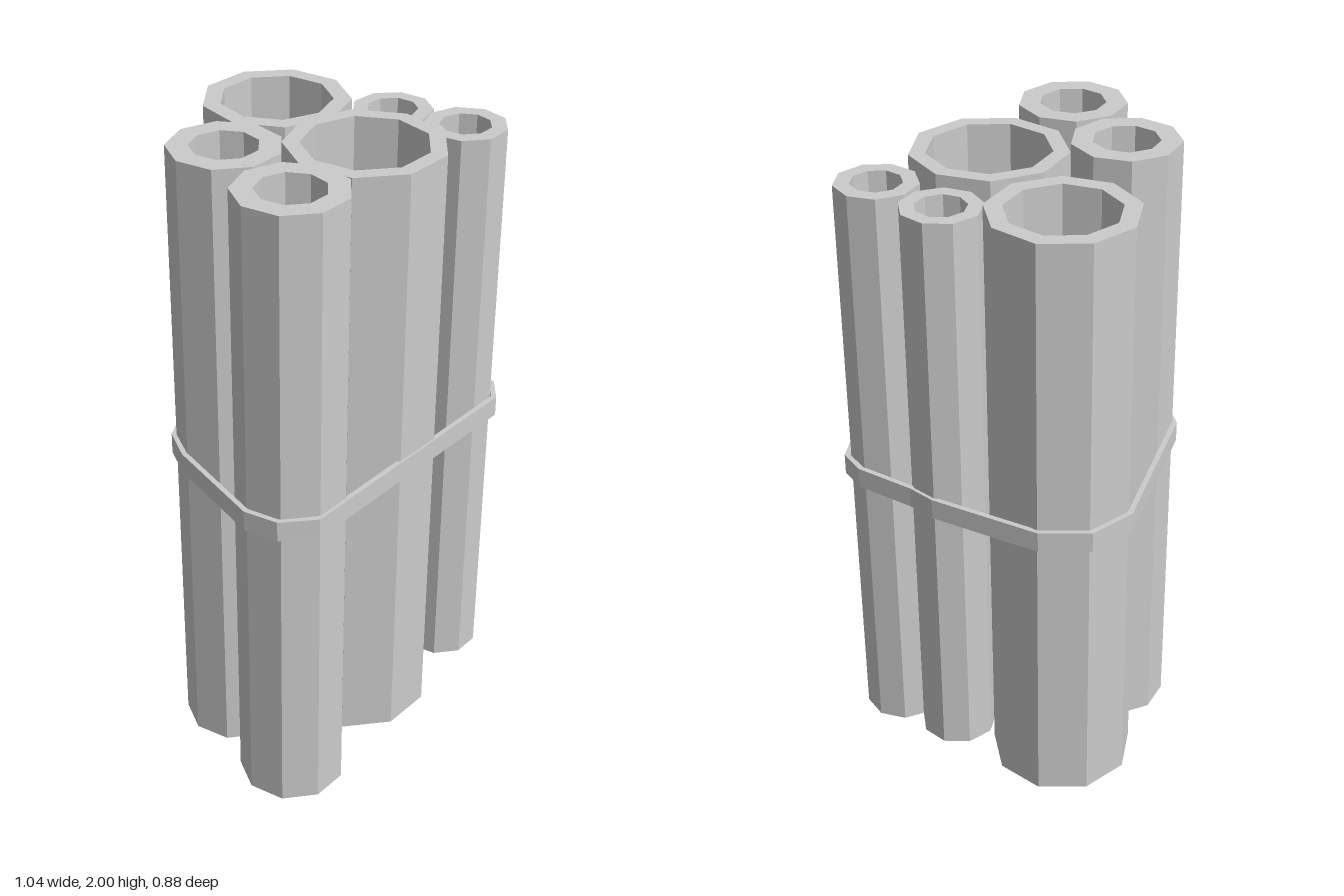
import * as THREE from 'three';

const material = new THREE.MeshStandardMaterial({ color: 0xcccccc, flatShading: true });

// Regular polygon in the ground plane, as (x, z) points
function ring(x, z, radius, startDegrees, sides = 9) {
  return Array.from({ length: sides }, (_, i) => {
    const a = THREE.MathUtils.degToRad(startDegrees) + (i / sides) * Math.PI * 2;
    return new THREE.Vector2(x + radius * Math.cos(a), z + radius * Math.sin(a));
  });
}

// Moves every edge of a closed outline inwards by the same distance
function inset(points, distance) {
  const n = points.length;
  const normal = (a, b) => new THREE.Vector2(a.y - b.y, b.x - a.x).normalize();
  return points.map((p, i) => {
    const n1 = normal(points[(i + n - 1) % n], p);
    const n2 = normal(p, points[(i + 1) % n]);
    const scale = distance / (1 + n1.dot(n2));
    return p.clone().addScaledVector(n1.add(n2), scale);
  });
}

// Upright wall between an outer and an inner outline
function hollowPrism(name, outer, inner, bottom, top) {
  const shape = new THREE.Shape(outer);
  shape.holes.push(new THREE.Path(inner));
  const geometry = new THREE.ExtrudeGeometry(shape, { depth: top - bottom, bevelEnabled: false });
  geometry.rotateX(Math.PI / 2).translate(0, top, 0);
  const mesh = new THREE.Mesh(geometry, material);
  mesh.name = name;
  return mesh;
}

export function createModel() {
  const model = new THREE.Group();
  model.name = 'pipeBundle';

  // Pipes: name, x, z, outer radius, inner radius, start angle, bottom, top
  const pipes = [
    ['largeBackPipe', 0.153, -0.212, 0.22, 0.167, 92.7, 0.085, 1.965],
    ['largeFrontPipe', 0.044, 0.208, 0.233, 0.184, -89, 0.055, 1.98],
    ['mediumBackPipe', -0.252, -0.047, 0.163, 0.099, -90, 0, 2],
    ['mediumFrontPipe', -0.342, 0.267, 0.164, 0.1, -89.5, 0, 2],
    ['smallBackPipe', 0.348, 0.064, 0.12, 0.075, 94.8, 0.13, 1.945],
    ['smallFrontPipe', 0.381, 0.301, 0.123, 0.076, -90, 0.105, 1.95],
  ];
  for (const [name, x, z, outer, inner, angle, bottom, top] of pipes) {
    model.add(hollowPrism(name, ring(x, z, outer, angle), ring(x, z, inner, angle), bottom, top));
  }

  // Strap pulled tight around the bundle
  const strap = [
    [0.09, -0.44], [0.243, -0.432], [0.357, -0.325], [0.467, 0.01], [0.474, 0.1],
    [0.519, 0.287], [0.502, 0.377], [0.432, 0.435], [-0.413, 0.431], [-0.502, 0.35],
    [-0.522, 0.243], [-0.424, -0.086], [-0.365, -0.184],
  ].map(([x, z]) => new THREE.Vector2(x, z));
  model.add(hollowPrism('strap', strap, inset(strap, 0.016), 1.003, 1.067));

  return model;
}
